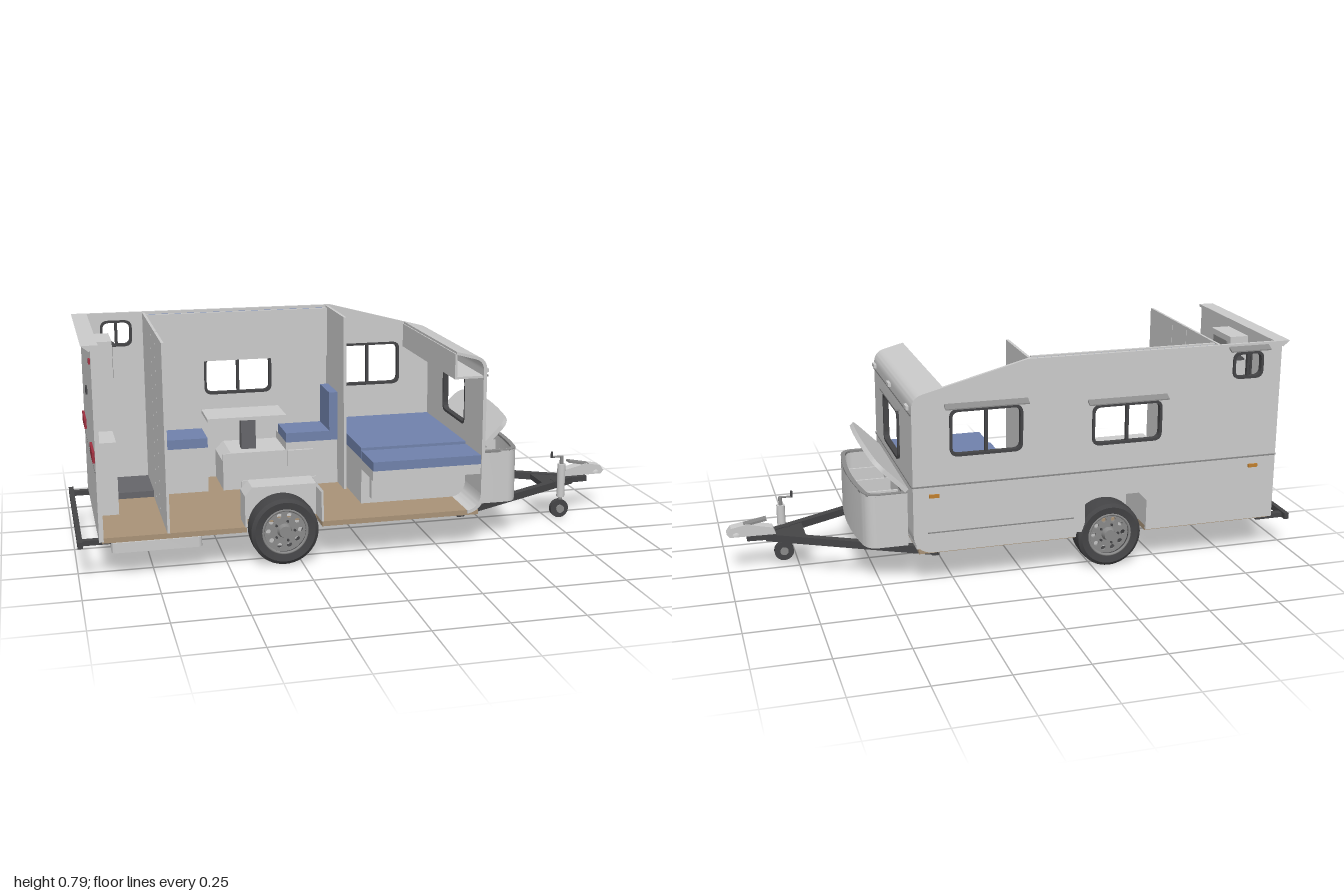
import * as THREE from 'three';
import { toCreasedNormals } from 'three/addons/utils/BufferGeometryUtils.js';

const mat = (color) => new THREE.MeshStandardMaterial({ color, side: THREE.DoubleSide });
const grey = mat(0xcccccc), mid = mat(0x8a8a8a), dark = mat(0x454547), blue = mat(0x7082ac);
const wood = mat(0xa99378), red = mat(0xa03040), amber = mat(0xc08030), tray = mat(0x66666a);

export function createModel() {
  const root = new THREE.Group();
  const add = (name, geo, m = grey, parent = root) => {
    const mesh = new THREE.Mesh(geo, m);
    mesh.name = name;
    parent.add(mesh);
    return mesh;
  };
  // Box given by its limits on each axis
  const box = (name, x0, x1, y0, y1, z0, z1, m, parent) => {
    const g = new THREE.BoxGeometry(x1 - x0, y1 - y0, z1 - z0);
    return add(name, g.translate((x0 + x1) / 2, (y0 + y1) / 2, (z0 + z1) / 2), m, parent);
  };
  const extrude = (shape, depth) => toCreasedNormals(
    new THREE.ExtrudeGeometry(shape, { depth, bevelEnabled: false, curveSegments: 10 }), 0.6);
  const poly = (pts) => new THREE.Shape(pts.map(([x, y]) => new THREE.Vector2(x, y)));
  const roundRect = (x0, x1, y0, y1, r, Type = THREE.Shape) => {
    const s = new Type();
    s.moveTo(x0 + r, y0).lineTo(x1 - r, y0).quadraticCurveTo(x1, y0, x1, y0 + r)
      .lineTo(x1, y1 - r).quadraticCurveTo(x1, y1, x1 - r, y1)
      .lineTo(x0 + r, y1).quadraticCurveTo(x0, y1, x0, y1 - r)
      .lineTo(x0, y0 + r).quadraticCurveTo(x0, y0, x0 + r, y0);
    return s;
  };
  // Square beam or round rod between two points
  const beam = (name, a, b, w, h, m, round) => {
    const p = new THREE.Vector3(...a), q = new THREE.Vector3(...b), len = p.distanceTo(q);
    const g = round ? new THREE.CylinderGeometry(w / 2, w / 2, len, 16).rotateX(Math.PI / 2)
      : new THREE.BoxGeometry(w, h, len);
    const mesh = add(name, g, m);
    mesh.position.copy(p).lerp(q, 0.5);
    mesh.lookAt(q);
    return mesh;
  };
  const frame = (x0, x1, y0, y1) => {
    const s = roundRect(x0, x1, y0, y1, 0.03);
    s.holes.push(roundRect(x0 + 0.009, x1 - 0.009, y0 + 0.009, y1 - 0.009, 0.024, THREE.Path));
    return s;
  };

  // Floor with wheel notches
  const floor = poly([[-0.92, -0.31], [-0.44, -0.31], [-0.44, -0.21], [-0.18, -0.21], [-0.18, -0.31],
    [0.38, -0.31], [0.38, 0.325], [-0.18, 0.325], [-0.18, 0.235], [-0.44, 0.235], [-0.44, 0.325], [-0.92, 0.325]]);
  add('floor', extrude(floor, 0.018).rotateX(Math.PI / 2).translate(0, 0.142, 0), wood);

  // Side wall with wheel arch and three windows
  const side = new THREE.Shape();
  side.moveTo(-0.925, 0.13).lineTo(-0.44, 0.13).lineTo(-0.44, 0.24).lineTo(-0.41, 0.272)
    .lineTo(-0.21, 0.272).lineTo(-0.18, 0.24).lineTo(-0.18, 0.13).lineTo(0.34, 0.13)
    .quadraticCurveTo(0.4, 0.14, 0.4, 0.2).lineTo(0.4, 0.64)
    .quadraticCurveTo(0.4, 0.68, 0.36, 0.69).lineTo(0, 0.785).lineTo(-0.925, 0.785);
  const windows = [[-0.86, -0.745, 0.66, 0.757], [-0.485, -0.23, 0.462, 0.607], [0.018, 0.272, 0.468, 0.632]];
  for (const w of windows) {
    side.holes.push(roundRect(...w, 0.03, THREE.Path));
    const g = new THREE.Group();
    g.name = 'sideWindow';
    root.add(g);
    add('windowFrame', extrude(frame(...w), 0.02).translate(0, 0, -0.327), dark, g);
    const c = (w[0] + w[1]) / 2;
    box('windowBar', c - 0.005, c + 0.005, w[2], w[3], -0.324, -0.311, dark, g);
    const hood = poly([[-0.32, w[3] + 0.012], [-0.343, w[3] + 0.004], [-0.343, w[3] + 0.008], [-0.32, w[3] + 0.02]]);
    add('windowHood', extrude(hood, w[1] - w[0] + 0.035).rotateY(-Math.PI / 2).translate(w[1] + 0.017, 0, 0), mid, g);
  }
  add('sideWall', extrude(side, 0.012).translate(0, 0, -0.32));
  box('sideTrim', -0.925, 0.4, 0.366, 0.371, -0.323, -0.319, mid);
  box('sideSkirtTrim', -0.17, 0.35, 0.2, 0.204, -0.322, -0.319, mid);
  for (const x of [-0.86, 0.31]) box('sideMarker', x, x + 0.035, 0.328, 0.34, -0.326, -0.319, amber);

  // Rear wall, cornice, lights and bumper
  box('rearWall', -0.93, -0.915, 0.13, 0.785, -0.32, 0.33);
  add('rearCornice', extrude(poly([[-0.96, 0.785], [-0.905, 0.785], [-0.905, 0.775], [-0.935, 0.765]]), 0.65)
    .translate(0, 0, -0.32));
  box('rearTrim', -0.933, -0.929, 0.366, 0.371, -0.32, 0.33, mid);
  box('rearCatch', -0.936, -0.929, 0.56, 0.585, -0.02, 0.02, dark);
  for (const s of [-1, 1]) {
    const z = s * 0.235 + 0.005;
    box('tailLight', -0.938, -0.929, 0.395, 0.43, z - 0.07, z + 0.07, red);
    box('topMarker', -0.936, -0.929, 0.72, 0.735, s * 0.29 - 0.015, s * 0.29 + 0.015, red);
    box('bumperArm', -0.985, -0.88, 0.113, 0.13, s * 0.29 - 0.012, s * 0.29 + 0.012, dark);
  }
  box('rearBumper', -1, -0.983, 0.113, 0.135, -0.325, 0.33, dark);

  // Front wall with window, rounded foot and rolled cap
  const front = poly([[-0.32, 0.2], [0.33, 0.2], [0.33, 0.63], [-0.32, 0.63]]);
  front.holes.push(roundRect(-0.118, 0.138, 0.4, 0.58, 0.03, THREE.Path));
  add('frontWall', extrude(front, 0.012).rotateY(-Math.PI / 2).translate(0.4, 0, 0));
  add('frontWindowFrame', extrude(frame(-0.118, 0.138, 0.4, 0.58), 0.02).rotateY(-Math.PI / 2).translate(0.408, 0, 0), dark);
  const foot = new THREE.Shape();
  foot.moveTo(0.34, 0.13).quadraticCurveTo(0.4, 0.14, 0.4, 0.2).lineTo(0.388, 0.2).quadraticCurveTo(0.386, 0.15, 0.34, 0.142);
  add('frontFoot', extrude(foot, 0.65).translate(0, 0, -0.32));
  const cap = new THREE.Shape();
  cap.moveTo(0.4, 0.625).lineTo(0.4, 0.64).quadraticCurveTo(0.4, 0.68, 0.36, 0.69).lineTo(0.29, 0.708)
    .lineTo(0.29, 0.698).lineTo(0.355, 0.68).quadraticCurveTo(0.388, 0.672, 0.388, 0.64).lineTo(0.388, 0.625);
  add('frontCap', extrude(cap, 0.65).translate(0, 0, -0.32));
  box('frontLockerFace', 0.286, 0.294, 0.62, 0.7, -0.308, 0.325);
  box('frontLockerShelf', 0.286, 0.39, 0.612, 0.62, -0.308, 0.325);
  box('frontTrim', 0.399, 0.404, 0.366, 0.371, -0.32, 0.33, mid);
  box('capTrim', 0.399, 0.404, 0.618, 0.624, -0.32, 0.33, mid);
  box('frontWindowHood', 0.4, 0.416, 0.586, 0.591, -0.138, 0.152, mid);
  for (const z of [-0.265, 0.035, 0.3]) box('frontMarker', 0.398, 0.41, 0.63, 0.643, z - 0.02, z + 0.02);

  // Washroom
  for (const [a, b] of [[-0.308, -0.022], [-0.02, 0.108], [0.11, 0.325]])
    box('washroomPartition', -0.706, -0.697, 0.142, 0.782, a, b);
  box('partitionHandle', -0.697, -0.69, 0.42, 0.45, 0.09, 0.1, dark);
  box('showerTray', -0.915, -0.706, 0.142, 0.165, -0.308, -0.1, tray);
  box('washCabinet', -0.915, -0.845, 0.142, 0.4, -0.085, 0.08);
  box('mirrorCabinet', -0.915, -0.845, 0.6, 0.75, -0.085, 0.08);
  box('mirror', -0.846, -0.842, 0.62, 0.73, -0.06, 0.055, mid);
  beam('showerPipe', [-0.9, 0.5, -0.15], [-0.9, 0.71, -0.15], 0.008, 0, dark, true);
  beam('showerArm', [-0.9, 0.71, -0.15], [-0.84, 0.705, -0.17], 0.008, 0, dark, true);
  add('showerHead', new THREE.CylinderGeometry(0.008, 0.025, 0.014, 20).translate(-0.835, 0.698, -0.172), dark);

  // Dinette with facing seats, table and overhead locker
  for (const [x0, x1, b0, b1] of [[-0.697, -0.505, -0.697, -0.665], [-0.215, -0.02, -0.052, -0.02]]) {
    box('seatBase', x0, x1, 0.142, 0.31, -0.308, -0.12);
    box('seatCushion', x0, x1, 0.31, 0.345, -0.265, -0.112, blue);
    box('seatBack', b0, b1, 0.345, 0.49, -0.265, -0.112, blue);
  }
  box('seatDrawer', -0.21, -0.115, 0.22, 0.28, -0.12, -0.108);
  add('innerWheelBox', extrude(poly([[-0.45, 0.142], [-0.45, 0.25], [-0.42, 0.28], [-0.2, 0.28], [-0.17, 0.25],
    [-0.17, 0.142], [-0.18, 0.142], [-0.18, 0.246], [-0.205, 0.272], [-0.415, 0.272], [-0.44, 0.246], [-0.44, 0.142]]), 0.19)
    .translate(0, 0, -0.308));
  box('innerWheelBoxFront', -0.45, -0.17, 0.142, 0.279, -0.124, -0.118);
  box('tableLeg', -0.372, -0.318, 0.28, 0.405, -0.21, -0.17, tray);
  box('tableTop', -0.505, -0.215, 0.405, 0.417, -0.265, -0.105);
  box('overheadLocker', -0.697, -0.025, 0.605, 0.775, -0.307, -0.27, blue);
  box('overheadLockerDoors', -0.697, -0.025, 0.6, 0.78, -0.27, -0.258);

  // Bedroom partition and bed
  box('bedPartition', -0.018, -0.008, 0.142, 0.782, -0.308, -0.025);
  box('bedBase', 0, 0.388, 0.142, 0.295, -0.308, 0.16);
  box('bedBoard', 0, 0.388, 0.27, 0.305, -0.308, 0.322);
  box('bedMattress', 0, 0.388, 0.305, 0.345, -0.308, 0.157, blue);
  box('bedExtension', 0, 0.388, 0.305, 0.337, 0.163, 0.322, blue);
  box('bedDrawer', 0.03, 0.3, 0.165, 0.25, 0.16, 0.19);

  // Open-sided wheel housing
  const arch = poly([[-0.445, 0.142], [-0.445, 0.25], [-0.42, 0.28], [-0.2, 0.28], [-0.175, 0.25], [-0.175, 0.142],
    [-0.182, 0.142], [-0.182, 0.246], [-0.205, 0.273], [-0.415, 0.273], [-0.438, 0.246], [-0.438, 0.142]]);
  add('outerWheelBox', extrude(arch, 0.095).translate(0, 0, 0.232));
  box('outerWheelBoxBack', -0.44, -0.18, 0.142, 0.278, 0.232, 0.238);

  // Wheels: lathed tyre, dished rim with round holes, hub
  const tyre = [[0.076, -0.04], [0.104, -0.045], [0.116, -0.036], [0.118, 0], [0.116, 0.036],
    [0.104, 0.045], [0.076, 0.04], [0.072, 0], [0.076, -0.04]].map(([r, y]) => new THREE.Vector2(r, y));
  const disc = new THREE.Shape().absarc(0, 0, 0.074, 0, Math.PI * 2);
  for (let i = 0; i < 10; i++) {
    const a = i * Math.PI / 5;
    disc.holes.push(new THREE.Path().absarc(Math.cos(a) * 0.055, Math.sin(a) * 0.055, 0.009, 0, Math.PI * 2));
  }
  for (const s of [-1, 1]) {
    const w = new THREE.Group();
    w.name = 'wheel';
    w.position.set(-0.31, 0.118, s > 0 ? 0.294 : -0.266);
    if (s < 0) w.rotation.y = Math.PI;
    root.add(w);
    add('tyre', toCreasedNormals(new THREE.LatheGeometry(tyre, 48).rotateX(Math.PI / 2), 0.7), dark, w);
    add('rimDisc', extrude(disc, 0.008).translate(0, 0, 0.018), mid, w);
    add('rimLip', new THREE.TorusGeometry(0.076, 0.005, 8, 40).translate(0, 0, 0.038), mid, w);
    add('hub', new THREE.CylinderGeometry(0.02, 0.026, 0.022, 24).rotateX(Math.PI / 2).translate(0, 0, 0.034), mid, w);
    for (let i = 0; i < 5; i++) {
      const a = i * Math.PI * 0.4;
      add('wheelNut', new THREE.CylinderGeometry(0.004, 0.004, 0.01, 6).rotateX(Math.PI / 2)
        .translate(Math.cos(a) * 0.035, Math.sin(a) * 0.035, 0.03), dark, w);
    }
  }
  add('entryStep', extrude(roundRect(-0.89, -0.59, 0.19, 0.325, 0.015), 0.035).rotateX(Math.PI / 2).translate(0, 0.122, 0));

  // Drawbar, coupling and jockey wheel
  for (const s of [-1, 1]) beam('drawbarArm', [0.31, 0.127, s * 0.3], [0.86, 0.127, s * 0.012], 0.026, 0.026, dark);
  box('drawbarCross', 0.31, 0.335, 0.114, 0.14, -0.31, 0.31, dark);
  box('boxSupport', 0.53, 0.55, 0.116, 0.14, -0.18, 0.18, dark);
  add('drawbarGusset', extrude(poly([[0.73, -0.08], [0.86, -0.02], [0.93, -0.015], [0.93, 0.015], [0.86, 0.02], [0.73, 0.08]]), 0.02)
    .rotateX(Math.PI / 2).translate(0, 0.137, 0), dark);
  add('coupling', extrude(poly([[0.83, 0.14], [0.99, 0.142], [1, 0.155], [0.985, 0.175], [0.93, 0.185], [0.84, 0.165]]), 0.04)
    .translate(0, 0, -0.03));
  add('couplingSocket', new THREE.SphereGeometry(0.024, 24, 12, 0, Math.PI * 2, 0, Math.PI / 2).translate(0.968, 0.145, -0.01));
  beam('couplingLever', [0.94, 0.18, -0.01], [0.86, 0.195, -0.01], 0.03, 0.008, mid);
  beam('jockeyTube', [0.8, 0.082, 0.07], [0.8, 0.21, 0.07], 0.03, 0, grey, true);
  beam('jockeyStem', [0.8, 0.04, 0.07], [0.8, 0.24, 0.07], 0.014, 0, mid, true);
  beam('jockeyCrank', [0.8, 0.238, 0.07], [0.758, 0.238, 0.07], 0.007, 0, mid, true);
  beam('jockeyGrip', [0.76, 0.235, 0.07], [0.76, 0.258, 0.07], 0.009, 0, dark, true);
  beam('jockeyClamp', [0.79, 0.128, 0.03], [0.79, 0.128, 0.07], 0.03, 0.025, dark);
  beam('jockeyTyre', [0.796, 0.036, 0.057], [0.796, 0.036, 0.077], 0.07, 0, dark, true);
  beam('jockeyHub', [0.796, 0.036, 0.055], [0.796, 0.036, 0.086], 0.03, 0, mid, true);

  // Bow-fronted storage box with raised lid
  const bow = (i, Type = THREE.Shape) => {
    const s = new Type(), w = 0.258 - i;
    s.moveTo(i, -w).lineTo(0.1, -w).quadraticCurveTo(0.145 - i, -w, 0.152 - i, -0.2)
      .quadraticCurveTo(0.182 - i, 0, 0.152 - i, 0.2).quadraticCurveTo(0.145 - i, w, 0.1, w).lineTo(i, w).lineTo(i, -w);
    return s;
  };
  const ring = (i) => {
    const s = bow(0);
    s.holes.push(bow(i, THREE.Path));
    return s;
  };
  const flat = (shape, depth) => extrude(shape, depth).rotateX(Math.PI / 2);
  add('storageBoxWall', flat(ring(0.008), 0.185).translate(0.406, 0.33, 0));
  add('storageBoxRim', flat(ring(0.016), 0.008).translate(0.406, 0.333, 0), mid);
  add('storageBoxFloor', flat(bow(0), 0.01).translate(0.406, 0.15, 0));
  for (const z of [-0.13, 0, 0.13]) box('storageBoxDivider', 0.41, 0.56, 0.15, 0.3, z - 0.004, z + 0.004);
  const lid = new THREE.Group();
  lid.name = 'storageBoxLid';
  lid.position.set(0.41, 0.335, 0);
  lid.rotation.z = Math.PI / 4;
  root.add(lid);
  add('lidPanel', flat(bow(0), 0.006).translate(0, 0.012, 0), grey, lid);
  add('lidLining', flat(bow(0.006), 0.004).translate(0, 0.005, 0), mid, lid);
  add('lidRim', flat(ring(0.006), 0.014).translate(0, 0.01, 0), grey, lid);
  return root;
}
